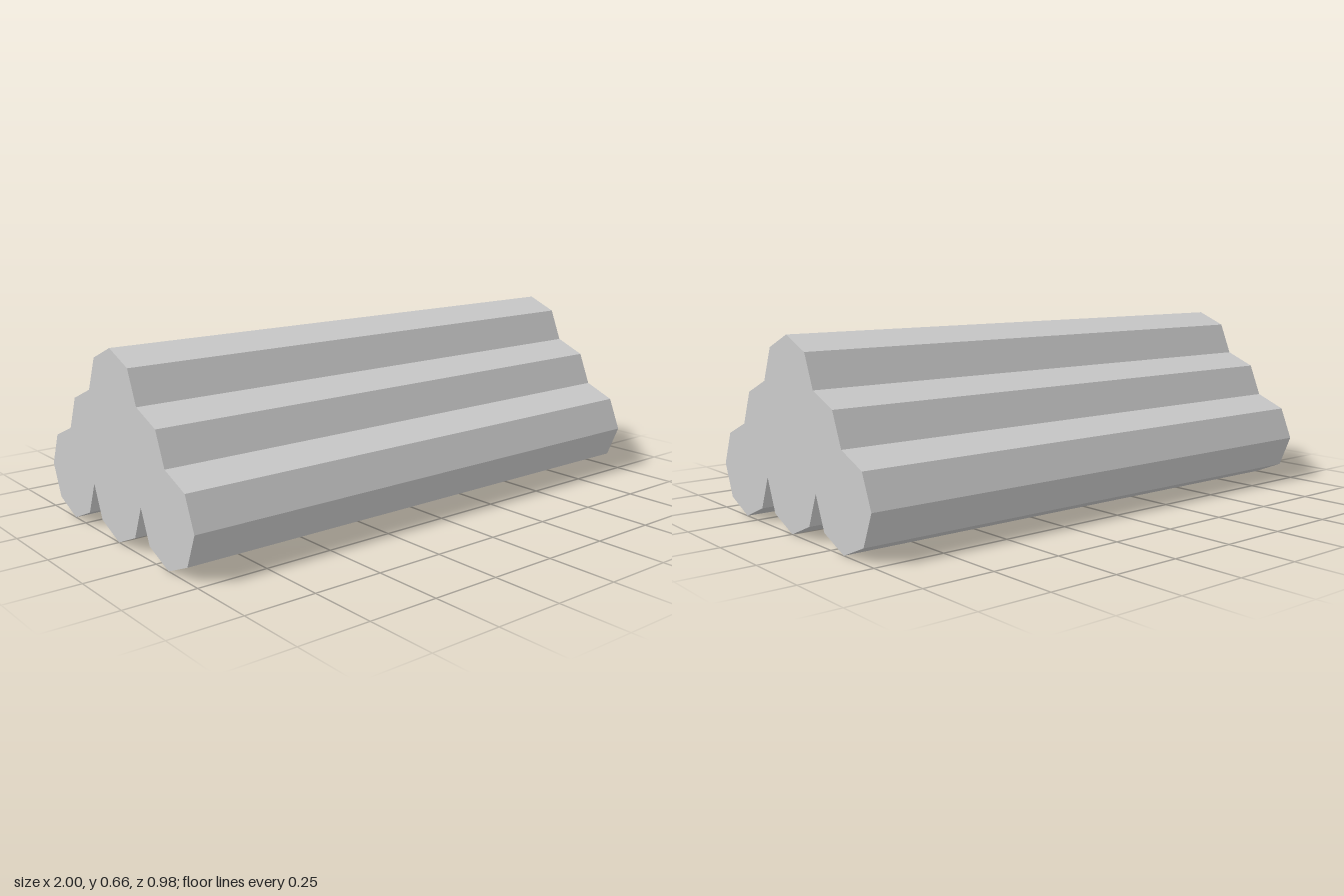
import * as THREE from 'three';

const R = 0.164; // radius of one eight-sided log
const LENGTH = 2;

// Logs met while walking counter-clockwise round the pile:
// centre in units of R, then first and last corner (45 degree steps).
const RUNS = [
  [-2, 1, 2, 8], // bottom row
  [0, 1, 4, 8],
  [2, 1, 4, 10],
  [1, 2, 0, 2], // middle row, one side
  [0, 3, 0, 4], // top log
  [-1, 2, 2, 4], // middle row, other side
];

// Joined outline of the six stacked logs; each run ends where the next starts.
function pileOutline() {
  const points = [];
  for (const [cx, cy, first, last] of RUNS) {
    for (let k = first; k < last; k++) {
      const a = (k * Math.PI) / 4;
      points.push(new THREE.Vector2(R * (cx + Math.cos(a)), R * (cy + Math.sin(a))));
    }
  }
  return new THREE.Shape(points);
}

export function createModel() {
  const group = new THREE.Group();
  group.name = 'logPile';

  // Run the outline along x
  const geometry = new THREE.ExtrudeGeometry(pileOutline(), { depth: LENGTH, bevelEnabled: false });
  geometry.translate(0, 0, -LENGTH / 2);
  geometry.rotateY(Math.PI / 2);

  const material = new THREE.MeshStandardMaterial({ color: 0xcccccc, flatShading: true });
  const logs = new THREE.Mesh(geometry, material);
  logs.name = 'stackedLogs';
  group.add(logs);
  return group;
}
